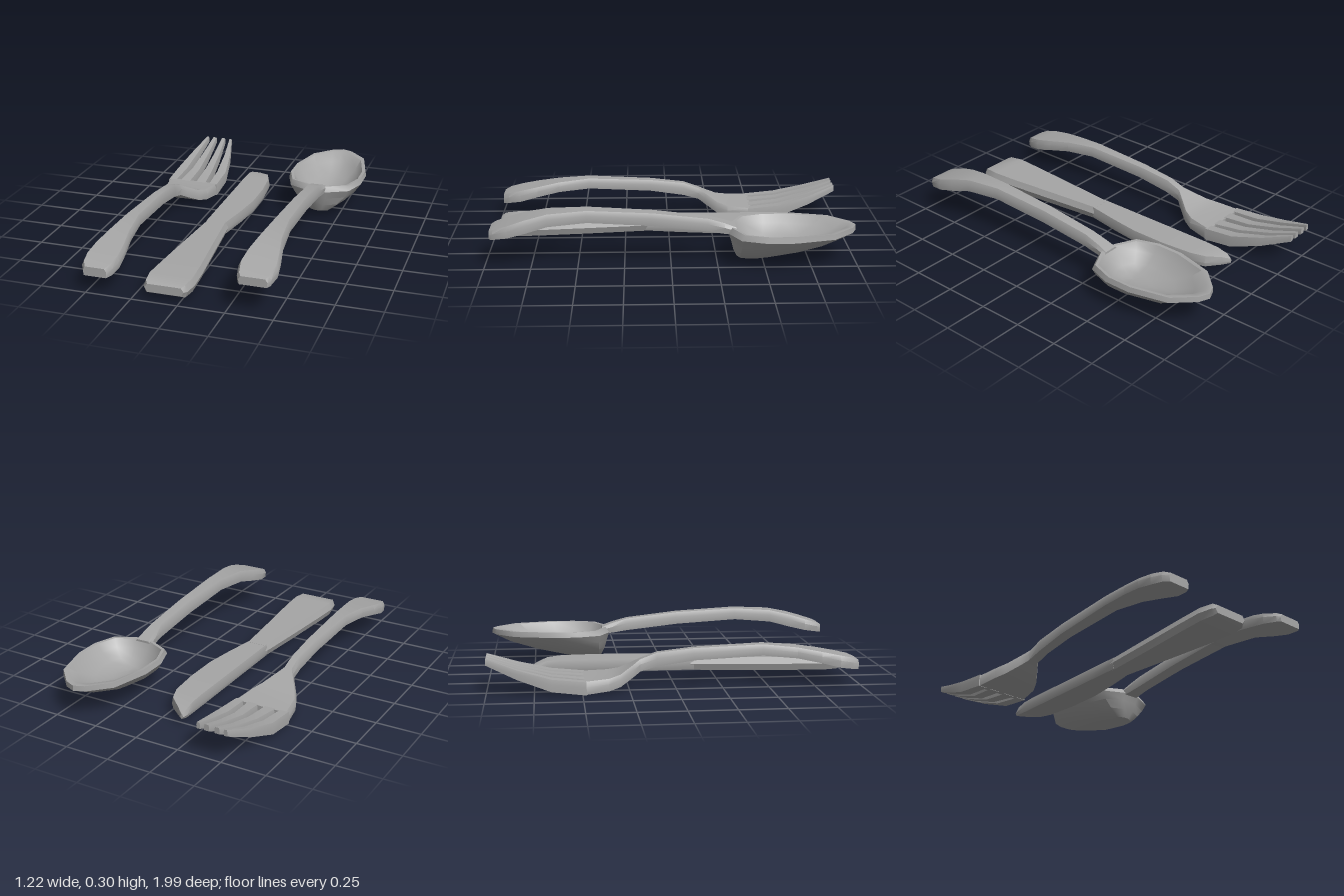
import * as THREE from 'three';
import { toCreasedNormals } from 'three/addons/utils/BufferGeometryUtils.js';

const steel = new THREE.MeshStandardMaterial({ color: 0xa6a6a6 });
steel.name = 'steel';

// Skins equal-length rings of [x, y, z] points and closes both ends with fans.
function loft(name, rings, crease = 0.6) {
  const n = rings[0].length, index = [];
  for (let k = 0; k < rings.length - 1; k++) {
    for (let i = 0; i < n; i++) {
      const j = (i + 1) % n, a = k * n, b = a + n;
      index.push(a + i, b + i, b + j, a + i, b + j, a + j);
    }
  }
  const last = (rings.length - 1) * n;
  for (let i = 1; i < n - 1; i++) {
    index.push(0, i, i + 1, last, last + i + 1, last + i);
  }
  const geometry = new THREE.BufferGeometry();
  geometry.setAttribute('position', new THREE.Float32BufferAttribute(rings.flat(2), 3));
  geometry.setIndex(index);
  const mesh = new THREE.Mesh(toCreasedNormals(geometry.toNonIndexed(), crease), steel);
  mesh.name = name;
  return mesh;
}

// Six-sided bar section: widest at mid height, slightly narrowed above and below.
function section([z, left, right, bottom, top], low, high, mid) {
  const y = bottom + (top - bottom) * mid;
  return [
    [left + low, bottom, z], [right - low, bottom, z], [right, y, z],
    [right - high, top, z], [left + high, top, z], [left, y, z],
  ];
}

function bar(name, rows, low = 0.004, high = 0.012, mid = 0.6) {
  return loft(name, rows.map((r) => section(r, low, high, mid)));
}

// Rows of [z, half width, bottom, top] about a centre line.
const centred = (x, rows) => rows.map(([z, w, b, t]) => [z, x - w, x + w, b, t]);

function createFork() {
  const fork = new THREE.Group();
  fork.name = 'fork';
  const cx = -0.45;

  // Arched handle flowing down into the palm
  fork.add(bar('forkHandle', centred(cx, [
    [0.985, 0.065, 0.09, 0.14],
    [0.95, 0.085, 0.095, 0.155],
    [0.88, 0.095, 0.105, 0.17],
    [0.78, 0.087, 0.13, 0.19],
    [0.65, 0.065, 0.155, 0.213],
    [0.47, 0.045, 0.17, 0.23],
    [0.1, 0.036, 0.15, 0.215],
    [-0.1, 0.032, 0.12, 0.193],
    [-0.19, 0.034, 0.095, 0.16],
    [-0.23, 0.062, 0.07, 0.135],
    [-0.3, 0.11, 0.03, 0.095],
    [-0.36, 0.138, 0.015, 0.08],
    [-0.5, 0.16, 0.001, 0.07],
  ])));

  // Four tines: inner and outer edges at each station, mirrored
  const stations = [[-0.48, 0.001, 0.07], [-0.66, 0.022, 0.088], [-0.84, 0.085, 0.135], [-1, 0.155, 0.19]];
  const edges = {
    innerTine: [[0.017, 0.085], [0.014, 0.07], [0.015, 0.058], [0.015, 0.044]],
    outerTine: [[0.105, 0.16], [0.097, 0.16], [0.086, 0.13], [0.067, 0.088]],
  };
  for (const [name, spans] of Object.entries(edges)) {
    for (const side of [-1, 1]) {
      const rows = stations.map(([z, b, t], i) => {
        const xs = spans[i].map((x) => cx + side * x).sort((p, q) => p - q);
        return [z, ...xs, b, t];
      });
      fork.add(bar(name, rows, 0.001, 0.004));
    }
  }
  return fork;
}

function createKnife() {
  const knife = new THREE.Group();
  knife.name = 'knife';

  // Handle tapering toward the blade
  knife.add(bar('knifeHandle', [
    [0.97, -0.185, 0.025, 0.04, 0.085],
    [0.95, -0.198, 0.04, 0.028, 0.096],
    [0.87, -0.21, 0.05, 0.025, 0.1],
    [0.72, -0.2, 0.04, 0.025, 0.1],
    [0.45, -0.178, 0.012, 0.025, 0.1],
    [0.12, -0.15, -0.02, 0.028, 0.1],
  ], 0.014, 0.014, 0.5));

  // Blade with straight spine, bevelled edge and dropped tip
  knife.add(bar('knifeBlade', [
    [0.14, -0.15, -0.024, 0.03, 0.099],
    [-0.05, -0.15, 0.008, 0.03, 0.099],
    [-0.22, -0.15, 0.03, 0.03, 0.099],
    [-0.42, -0.15, 0.03, 0.03, 0.099],
    [-0.6, -0.15, 0.014, 0.03, 0.099],
    [-0.68, -0.15, -0.015, 0.03, 0.095],
    [-0.74, -0.15, -0.085, 0.032, 0.08],
    [-0.77, -0.142, -0.122, 0.036, 0.065],
  ], 0.008, 0.008, 0.4));
  return knife;
}

function createSpoon() {
  const spoon = new THREE.Group();
  spoon.name = 'spoon';
  const cx = 0.385;

  // Arched handle
  spoon.add(bar('spoonHandle', centred(cx, [
    [0.97, 0.075, 0.155, 0.2],
    [0.95, 0.088, 0.157, 0.21],
    [0.87, 0.103, 0.17, 0.235],
    [0.78, 0.092, 0.19, 0.262],
    [0.66, 0.07, 0.22, 0.288],
    [0.45, 0.05, 0.235, 0.3],
    [0.1, 0.043, 0.212, 0.281],
    [-0.2, 0.04, 0.178, 0.247],
    [-0.29, 0.045, 0.165, 0.222],
    [-0.35, 0.05, 0.16, 0.2],
  ])));

  // Bowl: one outline scaled about a pivot, up the outside, over the rim, down the inside
  const half = [[0.06, -0.975], [0.165, -0.865], [0.22, -0.65], [0.22, -0.5], [0.175, -0.37], [0.055, -0.31]];
  const outline = [[0, -1], ...half, ...half.slice().reverse().map(([x, z]) => [-x, z])];
  const levels = [ // scale, height, pivot z
    [0.04, 0.025, -0.4], [0.3, 0.032, -0.375], [0.61, 0.077, -0.375],
    [0.85, 0.125, -0.4], [1, 0.17, -0.6], [0.97, 0.2, -0.95],
    [0.89, 0.198, -0.62], [0.76, 0.155, -0.56], [0.52, 0.108, -0.52],
    [0.26, 0.082, -0.5], [0.03, 0.075, -0.5],
  ];
  spoon.add(loft('spoonBowl', levels.map(([s, y, p]) =>
    outline.map(([x, z]) => [cx + x * s, y, p + (z - p) * s])), 0.75));
  return spoon;
}

export function createModel() {
  const model = new THREE.Group();
  model.name = 'cutlerySet';
  model.add(createFork(), createKnife(), createSpoon());
  return model;
}
